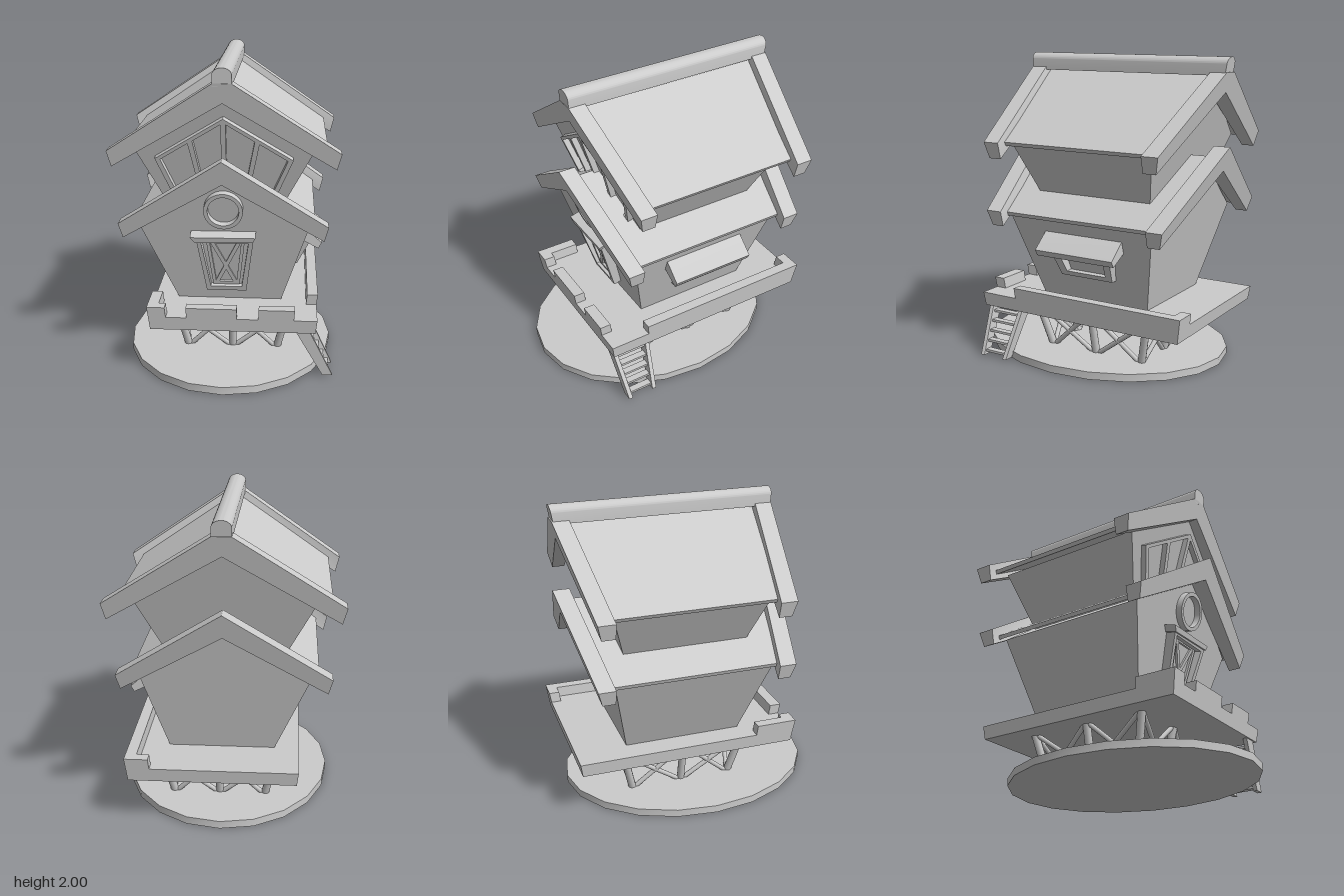
import * as THREE from 'three';
import { toCreasedNormals } from 'three/addons/utils/BufferGeometryUtils.js';

const material = new THREE.MeshStandardMaterial({ color: 0xcccccc });

const toShape = (pts) => new THREE.Shape(pts.map(([x, y]) => new THREE.Vector2(x, y)));

// Extrudes a front outline between two leaning planes z = back(y) and z = front(y);
// tilt raises the rear so that trim stands square on a leaning wall
function leanExtrude(shape, front, back, tilt = 0) {
  const geo = new THREE.ExtrudeGeometry(shape, { depth: 1, bevelEnabled: false, curveSegments: 20 });
  const p = geo.attributes.position;
  for (let i = 0; i < p.count; i++) {
    const y = p.getY(i);
    const z = THREE.MathUtils.lerp(back(y), front(y), p.getZ(i));
    p.setY(i, y + tilt * (front(y) - z));
    p.setZ(i, z);
  }
  return toCreasedNormals(geo, 0.4);
}

function add(parent, name, geo) {
  const mesh = new THREE.Mesh(geo, material);
  mesh.name = name;
  parent.add(mesh);
  return mesh;
}

function subgroup(parent, name) {
  const g = new THREE.Group();
  g.name = name;
  parent.add(g);
  return g;
}

const line = (z0, y0, slope) => (y) => z0 + slope * (y - y0);
const offset = (f, d) => (y) => f(y) + d;

function strut(parent, name, a, b, r) {
  const from = new THREE.Vector3(...a), to = new THREE.Vector3(...b);
  const dir = to.clone().sub(from);
  const mesh = add(parent, name, new THREE.CylinderGeometry(r, r, dir.length(), 10));
  mesh.position.copy(from).add(to).multiplyScalar(0.5);
  mesh.quaternion.setFromUnitVectors(new THREE.Vector3(0, 1, 0), dir.normalize());
}

// Straight bar outline from a to b with horizontal half width w
const bar = (a, b, w) => toShape([[a[0] - w, a[1]], [a[0] + w, a[1]], [b[0] + w, b[1]], [b[0] - w, b[1]]]);

// Inverted V: outer eave, inner eave, ridge heights and half width of the ridge flat
const chevron = (ex, ey, ix, iy, top, under, flat) =>
  toShape([[-flat, top], [-ex, ey], [-ix, iy], [0, under], [ix, iy], [ex, ey], [flat, top]]);

// Roof: two slabs between a pair of thick leaning gable boards
function addRoof(parent, name, board, panel, front, back) {
  const g = subgroup(parent, name);
  const depth = 0.112, eave = board[1];
  // Inner board faces stand upright below the eave
  const innerFront = (y) => front(Math.max(y, eave)) - depth;
  const innerBack = (y) => back(Math.max(y, eave)) + depth;
  add(g, 'frontGableBoard', leanExtrude(chevron(...board), front, innerFront));
  add(g, 'backGableBoard', leanExtrude(chevron(...board), innerBack, back));
  add(g, 'roofPanels', leanExtrude(chevron(...panel), offset(innerFront, 0.02), offset(innerBack, -0.02)));
}

export function createModel() {
  const model = new THREE.Group();
  model.name = 'stiltHouse';

  // Ground disc
  const disc = new THREE.CylinderGeometry(1, 1, 0.05, 20);
  disc.scale(0.692, 1, 0.86);
  disc.translate(0.02, 0.025, 0.018);
  add(model, 'groundDisc', toCreasedNormals(disc, 0.6));

  // Stilts: eight leaning legs round a rectangle, cross braces in every bay
  const stilts = subgroup(model, 'stilts');
  const ring = [[-1, -1], [0, -1], [1, -1], [1, 0], [1, 1], [0, 1], [-1, 1], [-1, 0]];
  const top = ([i, j]) => [0.048 + i * 0.37, 0.34, -0.1 + j * 0.42];
  const foot = ([i, j]) => [0.048 + i * 0.3, 0.03, -0.1 + j * 0.345];
  ring.forEach((c, k) => {
    const next = ring[(k + 1) % ring.length];
    strut(stilts, 'leg', foot(c), top(c), 0.026);
    strut(stilts, 'brace', foot(c), top(next), 0.016);
    strut(stilts, 'brace', foot(next), top(c), 0.016);
  });

  // Deck and battlement rails, flaring slightly upwards
  const deck = subgroup(model, 'deck');
  const deckBox = (name, x0, x1, y0, y1, z0, z1) => {
    const geo = new THREE.BoxGeometry(x1 - x0, y1 - y0, z1 - z0);
    geo.translate((x0 + x1) / 2, (y0 + y1) / 2, (z0 + z1) / 2);
    const p = geo.attributes.position;
    for (let i = 0; i < p.count; i++) {
      const s = 1 - 0.2 * (0.48 - p.getY(i));
      p.setX(i, 0.068 + (p.getX(i) - 0.068) * s);
      p.setZ(i, -0.1 + (p.getZ(i) + 0.1) * s);
    }
    geo.computeVertexNormals();
    add(deck, name, geo);
  };
  deckBox('deckFloor', -0.48, 0.615, 0.32, 0.41, -0.855, 0.655);
  for (const [x0, x1] of [[-0.48, -0.365], [-0.23, 0.095], [0.235, 0.465]])
    deckBox('frontRail', x0, x1, 0.4, 0.48, 0.58, 0.655);
  deckBox('cornerRail', -0.48, -0.41, 0.4, 0.48, 0.38, 0.58);
  deckBox('sideRail', 0.545, 0.615, 0.4, 0.48, -0.855, 0.38);
  deckBox('backRail', 0.465, 0.545, 0.4, 0.48, -0.855, -0.785);

  // Ladder
  const ladder = subgroup(model, 'ladder');
  const stile = toShape([[0.43, 0.4], [0.525, 0.4], [0.715, 0.01], [0.65, 0.01]]);
  const outer = line(0.588, 0, 0.1), inner = line(0.382, 0, -0.1);
  add(ladder, 'ladderStile', leanExtrude(stile, outer, offset(outer, -0.028)));
  add(ladder, 'ladderStile', leanExtrude(stile, offset(inner, 0.028), inner));
  for (let i = 0; i < 5; i++) {
    const y = 0.035 + i * 0.06;
    const rung = add(ladder, 'rung', new THREE.BoxGeometry(0.045, 0.016, 0.18 + 0.2 * y));
    rung.position.set(0.68 - 0.52 * (y - 0.01), y, 0.485);
  }

  // Lower storey
  const lower = subgroup(model, 'lowerStorey');
  const lowFront = line(0.31, 0.48, 0.26), lowTilt = 0.26;
  const lowBase = offset(lowFront, -0.02);
  add(lower, 'lowerWalls', leanExtrude(
    toShape([[-0.31, 0.4], [0.37, 0.4], [0.545, 0.96], [0, 1.34], [-0.545, 0.96]]),
    lowFront, line(-0.515, 0.48, -0.22)));
  addRoof(lower, 'lowerRoof',
    [0.665, 1.0, 0.64, 0.9, 1.44, 1.285, 0.001],
    [0.585, 0.985, 0.575, 0.96, 1.372, 1.325, 0.001],
    line(0.545, 1, 0.27), line(-0.755, 1, -0.27));

  // Door with frame, cross bars and a crooked lintel
  const door = subgroup(lower, 'door');
  const frame = toShape([[-0.117, 0.495], [0.143, 0.495], [0.192, 0.88], [-0.175, 0.88]]);
  frame.holes.push(toShape([[-0.09, 0.525], [0.113, 0.525], [0.16, 0.86], [-0.145, 0.86]]));
  add(door, 'doorFrame', leanExtrude(frame, line(0.37, 0.5, 0.3), lowBase, lowTilt));
  const leaf = toShape([[-0.075, 0.535], [0.098, 0.535], [0.135, 0.865], [-0.115, 0.865]]);
  leaf.holes.push(toShape([[-0.055, 0.555], [0.078, 0.555], [0.112, 0.855], [-0.092, 0.855]]));
  add(door, 'doorLeafFrame', leanExtrude(leaf, offset(lowFront, 0.035), lowBase, lowTilt));
  add(door, 'doorPanel', leanExtrude(
    toShape([[-0.1, 0.51], [0.125, 0.51], [0.17, 0.87], [-0.155, 0.87]]), offset(lowFront, 0.018), lowBase));
  for (const [a, b] of [[[-0.05, 0.55], [0.1, 0.86]], [[0.073, 0.55], [-0.08, 0.86]]])
    add(door, 'doorCrossBar', leanExtrude(bar(a, b, 0.014), offset(lowFront, 0.033), lowBase));
  add(door, 'doorLintel', leanExtrude(
    toShape([[-0.185, 0.866], [0.19, 0.875], [0.205, 0.906], [-0.213, 0.903]]),
    offset(lowFront, 0.085), lowBase, lowTilt));

  // Round gable window
  const round = new THREE.Shape().absarc(0, 1.08, 0.125, 0, Math.PI * 2);
  round.holes.push(new THREE.Path().absarc(0, 1.08, 0.1, 0, Math.PI * 2, true));
  add(lower, 'roundWindowFrame', leanExtrude(round, offset(lowFront, 0.045), lowBase, lowTilt));

  // Side window with awning; the frame is drawn facing front, then turned to +x
  const side = subgroup(lower, 'sideWindow');
  const sideFrame = toShape([[-0.085, 0.59], [0.3, 0.59], [0.33, 0.79], [-0.12, 0.79]]);
  sideFrame.holes.push(toShape([[-0.035, 0.622], [0.257, 0.622], [0.275, 0.76], [-0.055, 0.76]]));
  add(side, 'sideWindowFrame', leanExtrude(sideFrame, line(0.475, 0.59, 0.5), line(0.4, 0.59, 0.3)))
    .rotation.y = Math.PI / 2;
  add(side, 'awning', leanExtrude(
    toShape([[0.48, 0.9], [0.525, 0.872], [0.638, 0.775], [0.615, 0.735], [0.46, 0.815]]),
    () => 0.18, () => -0.395));

  // Upper storey
  const upper = subgroup(model, 'upperStorey');
  const upFront = line(0.31, 1.11, 0.3);
  add(upper, 'upperWalls', leanExtrude(
    toShape([[-0.34, 1.0], [0.34, 1.0], [0.565, 1.45], [0, 1.85], [-0.565, 1.45]]),
    upFront, line(-0.525, 1.11, -0.3)));
  addRoof(upper, 'upperRoof',
    [0.733, 1.46, 0.707, 1.355, 1.905, 1.78, 0.058],
    [0.655, 1.457, 0.642, 1.433, 1.89, 1.84, 0.001],
    line(0.5, 1.46, 0.225), line(-0.76, 1.46, -0.235));

  // Four-pane gable window
  const gable = toShape([[0, 1.675], [-0.437, 1.4], [-0.335, 1.15], [0.335, 1.15], [0.437, 1.4]]);
  for (const s of [-1, 1]) {
    gable.holes.push(toShape([[0.403, 1.395], [0.225, 1.508], [0.16, 1.18], [0.315, 1.18]].map(([x, y]) => [s * x, y])));
    gable.holes.push(toShape([[0.195, 1.525], [0.016, 1.638], [0.016, 1.18], [0.13, 1.18]].map(([x, y]) => [s * x, y])));
  }
  add(upper, 'gableWindowFrame', leanExtrude(gable, offset(upFront, 0.04), offset(upFront, -0.02), 0.3));

  // Rounded ridge cap
  const cap = new THREE.Shape();
  cap.moveTo(-0.06, 1.885);
  cap.lineTo(0.06, 1.885);
  cap.lineTo(0.06, 1.955);
  cap.absellipse(0, 1.955, 0.06, 0.045, 0, Math.PI);
  add(upper, 'ridgeCap', leanExtrude(cap, line(0.605, 2, 0.08), line(-0.872, 2, -0.17)));

  return model;
}
